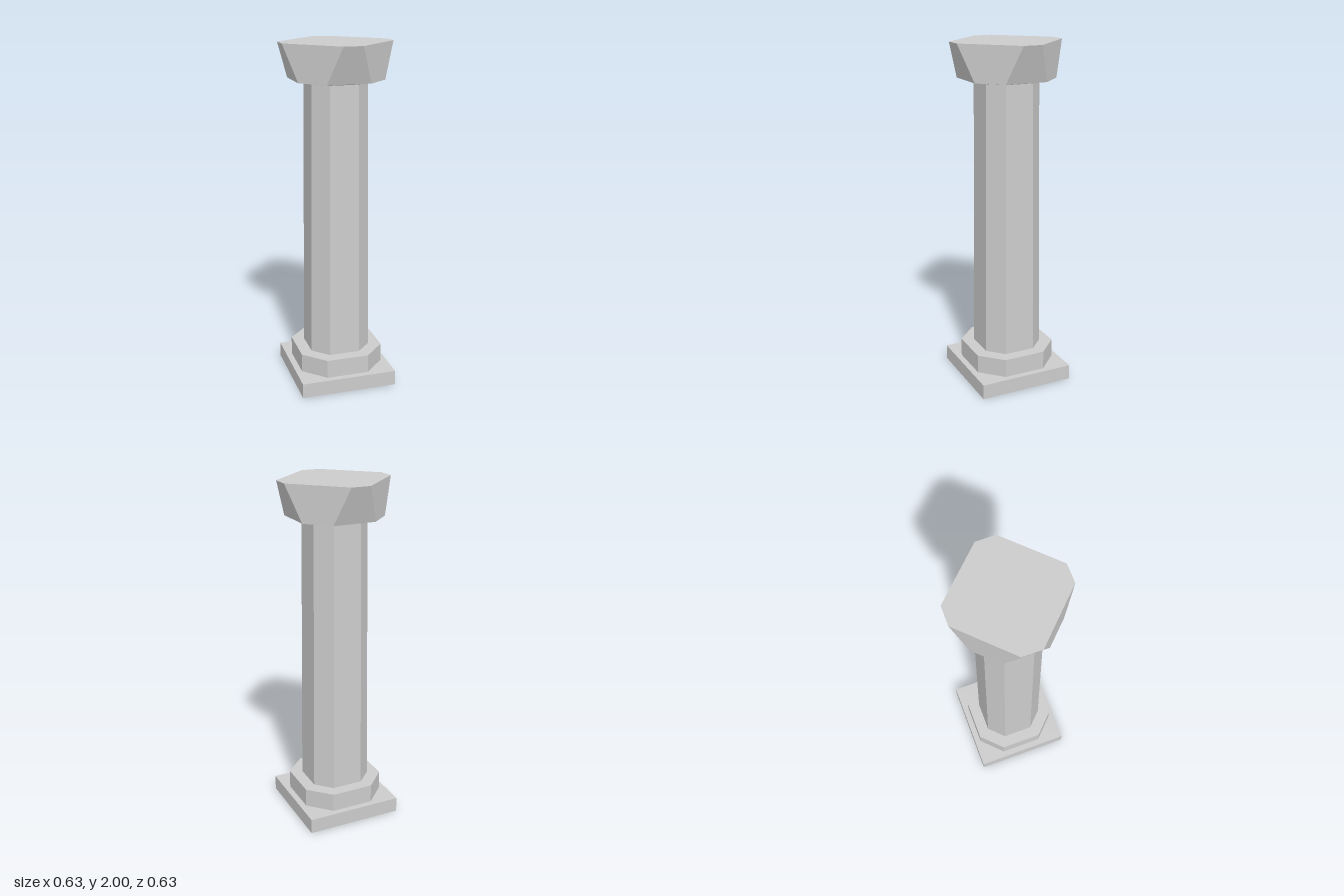
import * as THREE from 'three';

const material = new THREE.MeshStandardMaterial({
  color: 0xcccccc, flatShading: true, side: THREE.DoubleSide,
});

// Ring of a square with cut corners: r = half width, f = half length of each flat side
function ring({ y, r, f }) {
  return [[f, r], [r, f], [r, -f], [f, -r], [-f, -r], [-r, -f], [-r, f], [-f, r]]
    .map(([x, z]) => new THREE.Vector3(x, y, z));
}

// Joins rings from bottom to top, with optional flat caps
function loft(name, sections, capBottom, capTop) {
  const rings = sections.map(ring);
  const points = [];
  const n = 8;
  for (let k = 0; k < rings.length - 1; k++) {
    const low = rings[k], high = rings[k + 1];
    for (let i = 0; i < n; i++) {
      const j = (i + 1) % n;
      points.push(low[i], low[j], high[j], low[i], high[j], high[i]);
    }
  }
  const first = rings[0], last = rings[rings.length - 1];
  for (let i = 1; i < n - 1; i++) {
    if (capBottom) points.push(first[0], first[i + 1], first[i]);
    if (capTop) points.push(last[0], last[i], last[i + 1]);
  }
  const geometry = new THREE.BufferGeometry().setFromPoints(points);
  geometry.computeVertexNormals();
  const mesh = new THREE.Mesh(geometry, material);
  mesh.name = name;
  return mesh;
}

// Square slab, hollow underneath
function makePlinth() {
  const size = 0.566, height = 0.088;
  const box = new THREE.BoxGeometry(size, height, size).toNonIndexed();
  const keep = new THREE.BufferGeometry();
  // Drop the underside (fourth face of the box)
  for (const key of ['position', 'normal']) {
    const a = Array.from(box.attributes[key].array);
    a.splice(3 * 18, 18);
    keep.setAttribute(key, new THREE.Float32BufferAttribute(a, 3));
  }
  const mesh = new THREE.Mesh(keep, material);
  mesh.name = 'plinth';
  mesh.position.y = height / 2;
  return mesh;
}

export function createModel() {
  const column = new THREE.Group();
  column.name = 'column';
  column.add(
    makePlinth(),
    // Base block, sunk slightly through the plinth
    loft('baseBlock', [
      { y: 0.06, r: 0.247, f: 0.124 },
      { y: 0.197, r: 0.247, f: 0.124 },
    ], false, true),
    // Tapering shaft with a small flare under the capital
    loft('shaft', [
      { y: 0.197, r: 0.178, f: 0.09 },
      { y: 1.78, r: 0.163, f: 0.081 },
      { y: 1.795, r: 0.178, f: 0.09 },
    ], false, false),
    // Capital: widens upward while its cut corners grow broader
    loft('capital', [
      { y: 1.795, r: 0.247, f: 0.124 },
      { y: 2, r: 0.317, f: 0.055 },
    ], true, true),
  );
  return column;
}
